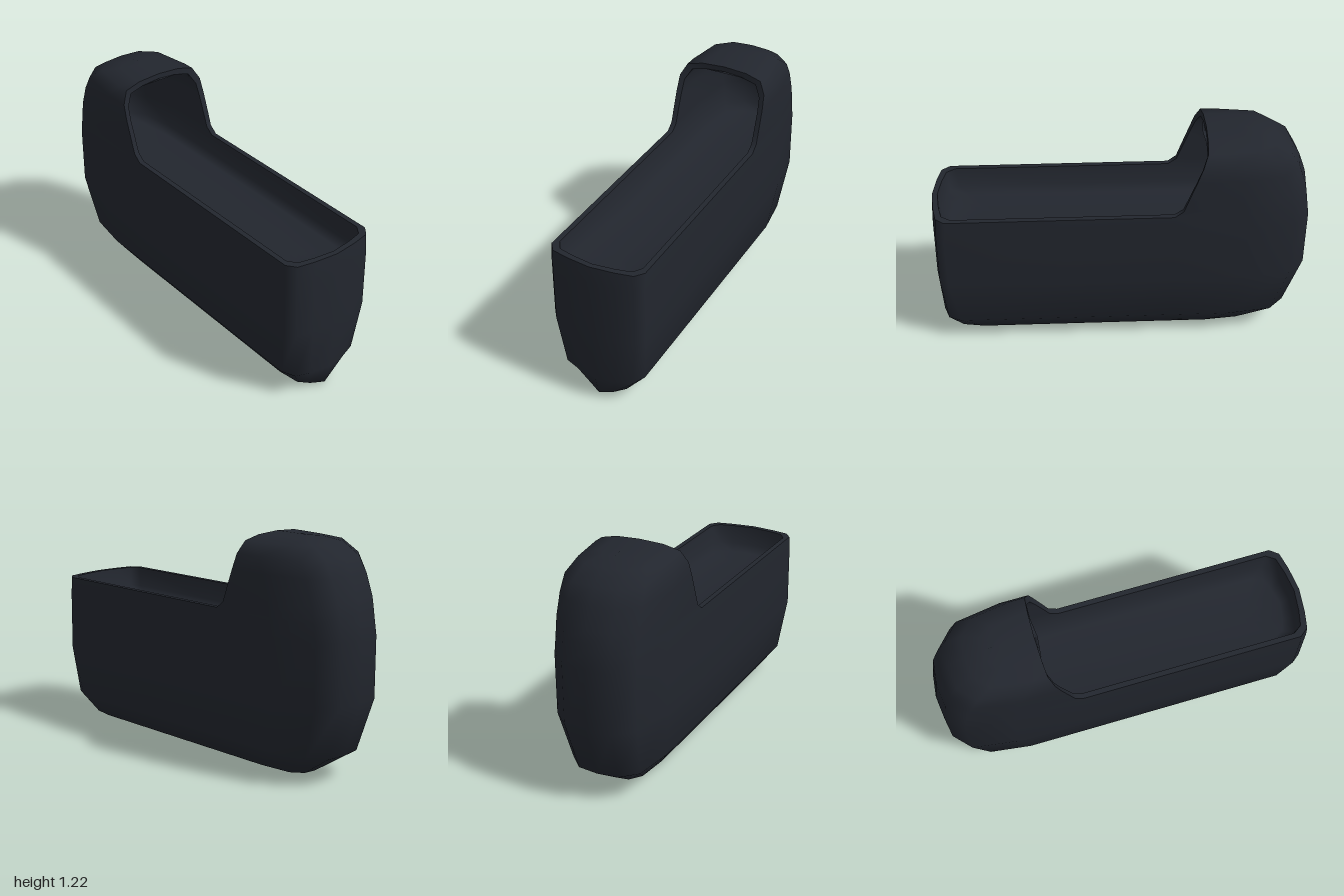
import * as THREE from 'three';
import { mergeVertices } from 'three/addons/utils/BufferGeometryUtils.js';

const V = (x, y, z) => new THREE.Vector3(x, y, z);
const NOSE = [[1, 1], [0.29, 0.86], [0.043, 0.5], [0, 0]];   // [share of corner length, share of half width]
const FOOT = [[1, 1], [0.42, 0.86], [0.18, 0.5], [0, 0]];
const WALL = 0.028;

// Mirrors a +z half outline round to the -z side
const mirrored = (half) => [...half, ...half.slice(0, -1).reverse().map((p) => V(p.x, p.y, -p.z))];

// Horizontal U from the hood opening round the head end and back
function headRow({ y, w, head, nose, open }) {
  const half = [V(open, y, w), ...NOSE.map(([l, s]) => V(head + nose * l, y, w * s))];
  return mirrored(half);
}

// Rest of a closed ring: from the -z side round the foot end to the +z side
function footRow({ y, w, foot, toe }) {
  const half = [V(0.3, y, -w), ...FOOT.map(([l, s]) => V(foot - toe * l, y, -w * s))];
  return mirrored(half);
}

// Surface through the rows; lower rows are closed rings, hood rows are open
function loft(tub, hood, inward) {
  const pos = [], index = [];
  const quad = (a, b, c, d) => {
    for (const [p, q, r] of [[a, d, b], [b, d, c]]) index.push(...(inward ? [p, r, q] : [p, q, r]));
  };
  const addRow = (row) => {
    const start = pos.length / 3;
    row.forEach((p) => pos.push(p.x, p.y, p.z));
    return start;
  };
  const skin = (starts, n, closed) => {
    for (let i = 0; i + 1 < starts.length; i++) {
      for (let j = 0; j < (closed ? n : n - 1); j++) {
        const k = (j + 1) % n;
        quad(starts[i] + j, starts[i] + k, starts[i + 1] + k, starts[i + 1] + j);
      }
    }
  };
  const rings = tub.map((r) => [...headRow(r), ...footRow(r)]);
  const arcs = hood.map(headRow);
  skin(rings.map(addRow), rings[0].length, true);
  skin(arcs.map(addRow), arcs[0].length, false);
  return { geometry: toGeometry(pos, index), arcs };
}

function toGeometry(pos, index) {
  let g = new THREE.BufferGeometry();
  g.setAttribute('position', new THREE.Float32BufferAttribute(pos, 3));
  g.setIndex(index);
  g = mergeVertices(g, 1e-4);
  g.computeVertexNormals();
  return g;
}

const row = (y, w, head, nose, open, foot, toe) => ({ y, w, head, nose, open, foot, toe });

export function createModel() {
  const group = new THREE.Group();
  const material = new THREE.MeshStandardMaterial({ color: 0x22262e, side: THREE.DoubleSide });
  const add = (name, geometry) => {
    const mesh = new THREE.Mesh(geometry, material);
    mesh.name = name;
    group.add(mesh);
  };

  // Outer tub, from the keel to the rim
  const tub = [
    row(0, 0, -0.5, 0.1, -0.27, 0.75, 0.1),
    row(0.022, 0.13, -0.72, 0.25, -0.27, 0.96, 0.2),
    row(0.147, 0.222, -0.91, 0.32, -0.27, 0.993, 0.12),
    row(0.43, 0.259, -1, 0.35, -0.27, 1, 0.08),
    row(0.75, 0.26, -1, 0.35, -0.27, 0.995, 0.08),
    row(0.84, 0.258, -0.986, 0.35, -0.27, 0.988, 0.08),
  ];
  // Outer hood, closing to a short ridge
  const hood = [
    tub[5],
    row(0.875, 0.258, -0.981, 0.35, -0.315),
    row(0.94, 0.258, -0.97, 0.35, -0.338),
    row(1.05, 0.257, -0.93, 0.34, -0.378),
    row(1.13, 0.252, -0.885, 0.33, -0.406),
    row(1.193, 0.218, -0.795, 0.3, -0.43),
    row(1.215, 0.13, -0.7, 0.24, -0.437),
    row(1.222, 0, -0.64, 0.19, -0.44),
  ];

  // Lining: the same forms moved in by the wall thickness
  const inset = (r) => ({
    ...r,
    y: r.y > 0.84 ? 0.84 + (r.y - 0.84) * 0.925 : r.y,
    w: Math.max(0, r.w - WALL),
    head: r.head + WALL,
    foot: r.foot - WALL,
  });
  const rim = inset(tub[5]);
  const floor = [
    row(0.7, 0, -0.75, 0.2, -0.27, 0.75, 0.1),
    row(0.7, 0.18, -0.9, 0.3, -0.27, 0.9, 0.1),
    row(0.735, 0.218, -0.95, 0.33, -0.27, 0.945, 0.08),
    rim,
  ];

  const outer = loft(tub, hood, false);
  const inner = loft(floor, hood.map(inset), true);
  add('outerShell', outer.geometry);
  add('innerLining', inner.geometry);

  // Rim joining shell and lining round the hood opening and the foot end
  const edge = (arcs, base) => {
    const last = arcs[0].length - 1;
    return [...arcs.map((a) => a[0]), ...arcs.map((a) => a[last]).reverse(), ...footRow(base)];
  };
  const a = edge(outer.arcs, tub[5]);
  const b = edge(inner.arcs, rim);
  const n = a.length, pos = [], index = [];
  [...a, ...b].forEach((p) => pos.push(p.x, p.y, p.z));
  for (let i = 0; i < n; i++) {
    const k = (i + 1) % n;
    index.push(i, k, n + k, i, n + k, n + i);
  }
  add('rim', toGeometry(pos, index));
  return group;
}
